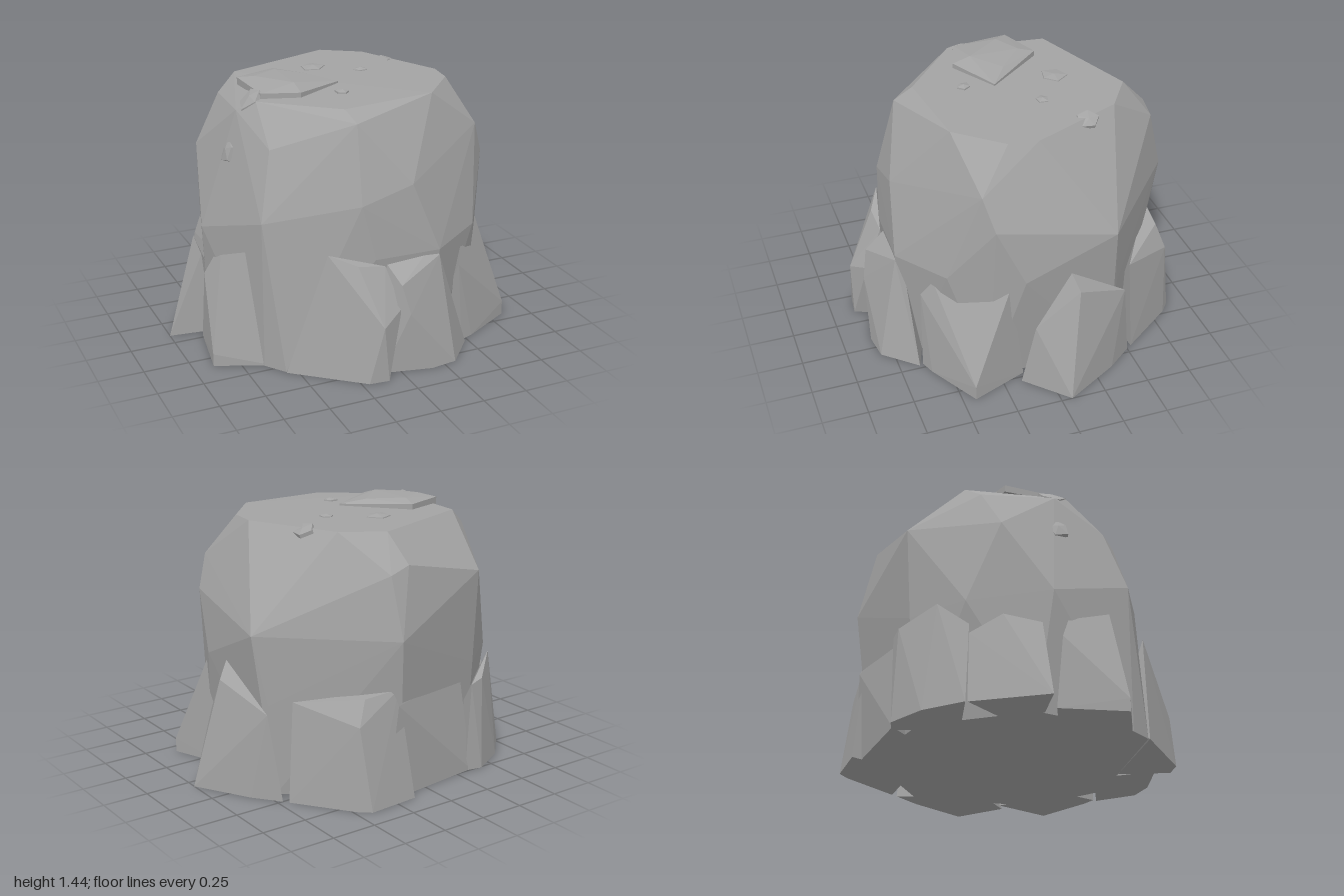
import * as THREE from 'three';
import { ConvexGeometry } from 'three/addons/geometries/ConvexGeometry.js';

export function createModel() {
  const rock = new THREE.Group();
  rock.name = 'boulder';
  const stone = new THREE.MeshStandardMaterial({ color: 0xa3a3a3 });
  stone.name = 'grey stone';

  // Faceted block: the hull of a few corner points, with flat face normals
  function block(name, points) {
    const mesh = new THREE.Mesh(
      new ConvexGeometry(points.map(p => new THREE.Vector3(...p))), stone);
    mesh.name = name;
    rock.add(mesh);
    return mesh;
  }

  // Main body: flat crown, shoulder ring, belly ring and base
  block('mainBody', [
    [-0.46, 1.39, -0.41], [0.16, 1.39, -0.64], [0.37, 1.39, -0.5], [0.59, 1.39, 0],
    [0.57, 1.39, 0.16], [0.36, 1.39, 0.4], [-0.17, 1.38, 0.45], [-0.54, 1.38, 0.14],
    [-0.15, 1.33, 0.56], [-0.62, 1.32, 0.05], [-0.58, 1.3, -0.35], [0.13, 1.24, -0.78],
    [0.24, 1.2, -0.78], [-0.4, 1.12, -0.71], [0.67, 1.16, 0.33], [-0.55, 1.18, 0.35],
    [0.12, 1.0, 0.67], [0.74, 0.98, 0.28], [-0.74, 1.05, -0.28], [-0.17, 0.92, 0.67],
    [0.81, 0.88, -0.36], [0.22, 0.87, -0.86], [-0.64, 0.82, 0.45], [-0.81, 0.66, -0.02],
    [0.78, 0.66, 0.13], [0.27, 0.62, 0.7], [-0.1, 0.62, 0.69], [0.58, 0.64, 0.5],
    [-0.68, 0.6, -0.45], [-0.4, 0.6, -0.68], [0.74, 0.5, -0.4], [0.2, 0.5, -0.8],
    [-0.56, 0, 0.56], [0.3, 0, 0.62], [0.68, 0, 0.3], [0.7, 0, -0.4],
    [0.15, 0, -0.76], [-0.42, 0, -0.62], [-0.76, 0, -0.1], [-0.64, 0, 0.45],
  ]);

  // Buttress rocks leaning on the body around the base
  const buttresses = {
    frontRight: [[-0.56, 0, 0.57], [-0.21, 0, 0.86], [-0.1, 0, 0.87], [0, 0, 0.6],
      [-0.13, 0.31, 0.87], [0, 0.37, 0.8], [-0.35, 0.67, 0.64], [-0.21, 0.61, 0.71],
      [-0.05, 0.58, 0.7], [-0.3, 0.2, 0.5]],
    frontLeft: [[-0.1, 0, 0.78], [0.17, 0, 0.84], [0.32, 0, 0.82], [0.48, 0, 0.64],
      [0.04, 0.34, 0.83], [0, 0.5, 0.8], [-0.04, 0.6, 0.66], [0.24, 0.63, 0.66],
      [0.27, 0.59, 0.7], [0.1, 0, 0.5]],
    leftFront: [[0.47, 0, 0.62], [0.55, 0, 0.59], [0.84, 0, 0.43], [0.84, 0.08, 0.43],
      [0.72, 0, 0.12], [0.4, 0, 0.4], [0.44, 0.46, 0.61], [0.48, 0.56, 0.55],
      [0.74, 0.62, 0.2]],
    left: [[0.78, 0, 0.15], [1, 0, -0.06], [0.83, 0, -0.36], [0.72, 0, -0.5],
      [0.8, 0.36, 0.08], [0.81, 0.69, -0.11], [0.87, 0.6, -0.14], [0.77, 0.47, -0.44],
      [0.6, 0, 0]],
    backLeft: [[0.7, 0, -0.53], [0.48, 0, -0.83], [0.42, 0, -0.88], [0.13, 0, -0.86],
      [0.66, 0.54, -0.51], [0.46, 0.45, -0.82], [0.4, 0.58, -0.78], [0.2, 0.6, -0.8],
      [0.3, 0, -0.5]],
    back: [[0.28, 0, -0.82], [-0.36, 0, -0.74], [0.22, 0.52, -0.83], [0.08, 0.64, -0.77],
      [-0.3, 0.56, -0.69], [-0.1, 0, -0.5]],
    backRight: [[-0.32, 0, -0.74], [-0.42, 0, -0.76], [-0.62, 0, -0.65], [-0.79, 0, -0.47],
      [-0.34, 0.5, -0.75], [-0.42, 0.52, -0.74], [-0.6, 0.6, -0.58], [-0.72, 0.45, -0.44],
      [-0.4, 0, -0.4]],
    right: [[-0.79, 0, -0.46], [-1, 0, -0.09], [-0.76, 0, -0.06], [-0.8, 0.47, -0.08],
      [-0.78, 0.5, -0.28], [-0.72, 0.4, -0.44], [-0.6, 0, -0.2]],
    rightFront: [[-0.89, 0, 0.34], [-0.89, 0.07, 0.34], [-0.6, 0, 0.46], [-0.83, 0, -0.02],
      [-0.82, 0.4, 0.02], [-0.68, 0.64, 0.32], [-0.74, 0.6, 0.1], [-0.5, 0, 0.1]],
  };
  for (const [side, points] of Object.entries(buttresses)) block(side + 'Buttress', points);

  // Thin tilted slab on the crown
  block('topSlab', [
    [-0.52, 1.38, -0.2], [-0.28, 1.38, -0.29], [-0.02, 1.38, 0.03], [-0.3, 1.38, 0.18], [-0.5, 1.38, 0.11],
    [-0.52, 1.42, -0.2], [-0.28, 1.42, -0.29], [-0.02, 1.4, 0.03], [-0.3, 1.41, 0.18], [-0.5, 1.41, 0.11],
    [-0.45, 1.44, -0.12], [-0.3, 1.44, -0.2], [-0.14, 1.43, -0.06], [-0.3, 1.44, 0.08],
  ]);

  // Small chips: [x, y, z, radius, tilt about z]
  const chips = [
    [-0.03, 1.385, -0.31, 0.08, 0], [0.2, 1.385, -0.16, 0.042, 0],
    [-0.07, 1.385, 0.19, 0.042, 0], [0.45, 1.375, -0.32, 0.065, -0.5],
    [-0.54, 1.37, 0.06, 0.085, 0.7], [-0.67, 1.1, 0.05, 0.07, 1.2],
  ];
  chips.forEach(([x, y, z, r, tilt], i) => {
    const points = [];
    for (let k = 0; k < 5; k++) {
      const a = k * Math.PI * 0.4 + i * 0.7, s = r * (k % 2 ? 0.85 : 1);
      points.push([Math.cos(a) * s, -0.01, Math.sin(a) * s],
        [Math.cos(a) * s * 0.95, 0.01, Math.sin(a) * s * 0.95]);
    }
    points.push([r * 0.1, 0.02, 0]);
    const chip = block('chip' + (i + 1), points);
    chip.position.set(x, y, z);
    chip.rotation.z = tilt;
  });
  return rock;
}
